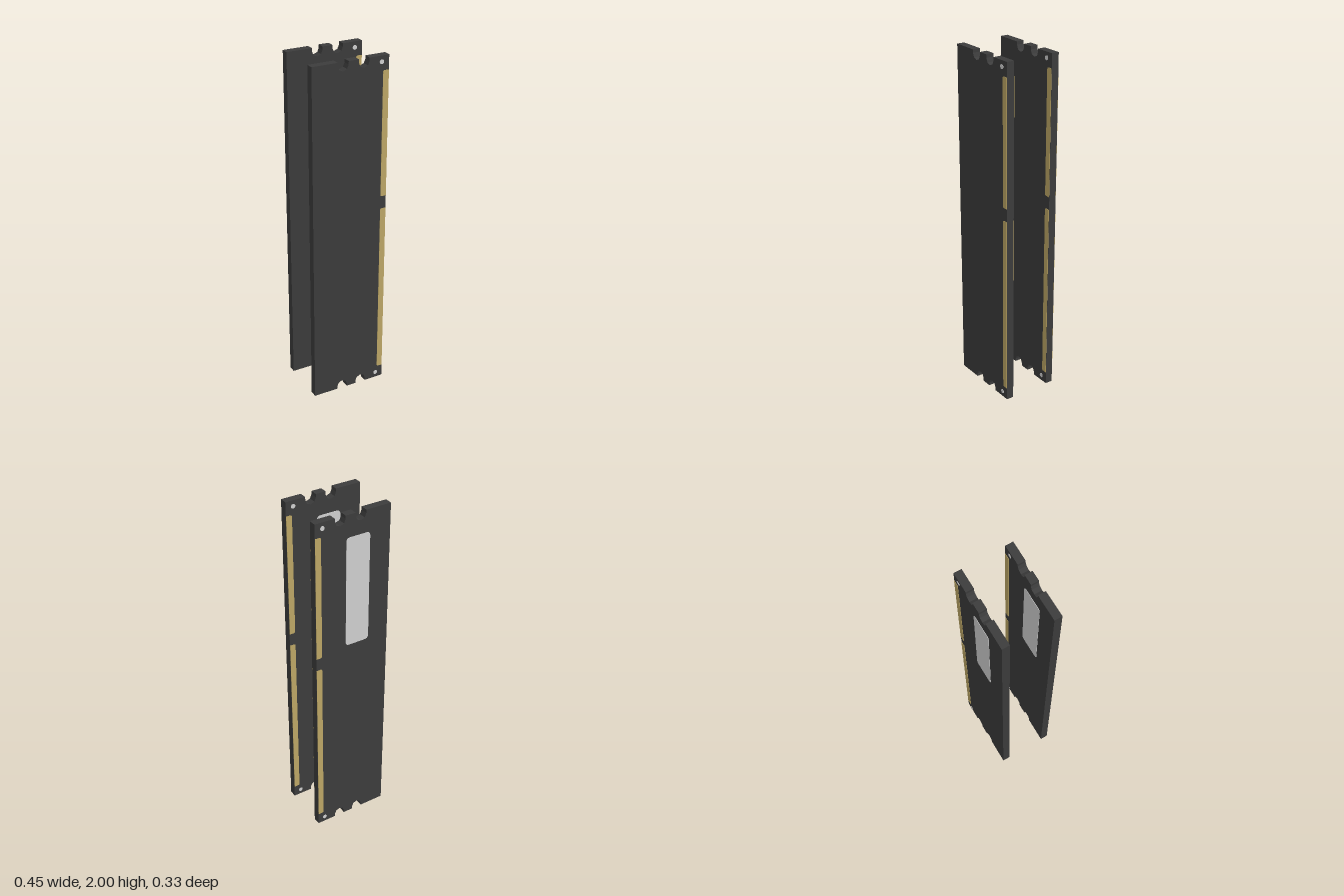
import * as THREE from 'three';

const W = 0.225, H = 2, T = 0.044, PLATE = 0.002;

const mat = (name, color) => {
  const m = new THREE.MeshStandardMaterial({ color });
  m.name = name;
  return m;
};

// Board outline with two round-bottomed notches in each short end
function boardShape() {
  const r = 0.0315, straight = 0.018, notches = [-0.045, 0.077];
  const half = [];
  for (const cx of notches) {
    half.push([cx - r, 0]);
    for (let i = 0; i <= 4; i++) {
      const a = Math.PI * (1 - i / 4);
      half.push([cx + r * Math.cos(a), straight + r * Math.sin(a)]);
    }
    half.push([cx + r, 0]);
  }
  const bottom = [[-W, 0], ...half, [W, 0]];
  const top = bottom.map(([x, y]) => [x, H - y]).reverse();
  return new THREE.Shape([...bottom, ...top].map(([x, y]) => new THREE.Vector2(x, y)));
}

// Rectangle with a separate corner radius for its left and right side
function roundedRect(x0, x1, y0, y1, rl, rr) {
  const s = new THREE.Shape();
  s.moveTo(x0 + rl, y0);
  s.lineTo(x1 - rr, y0);
  if (rr) s.quadraticCurveTo(x1, y0, x1, y0 + rr);
  s.lineTo(x1, y1 - rr);
  if (rr) s.quadraticCurveTo(x1, y1, x1 - rr, y1);
  s.lineTo(x0 + rl, y1);
  if (rl) s.quadraticCurveTo(x0, y1, x0, y1 - rl);
  s.lineTo(x0, y0 + rl);
  if (rl) s.quadraticCurveTo(x0, y0, x0 + rl, y0);
  return s;
}

function extruded(name, shape, depth, z, material) {
  const geo = new THREE.ExtrudeGeometry(shape, { depth, bevelEnabled: false, curveSegments: 6 });
  geo.translate(0, 0, z);
  const mesh = new THREE.Mesh(geo, material);
  mesh.name = name;
  return mesh;
}

export function createModel() {
  const black = mat('board black', 0x3c3c3c);
  const gold = mat('contact gold', 0xbda766);
  const silver = mat('label silver', 0xd0d0d0);

  const stick = new THREE.Group();
  stick.add(extruded('board', boardShape(), T, -T / 2, black));

  // Contacts and corner pads on both faces
  for (const [side, z] of [['front', T / 2], ['back', -T / 2 - PLATE]]) {
    for (const [part, y0, y1] of [['lower', 0.075, 1.125], ['upper', 1.2, 1.92]]) {
      stick.add(extruded(`${side} ${part} contacts`,
        roundedRect(0.19, W - 0.001, y0, y1, 0.01, 0), PLATE, z, gold));
    }
    for (const [part, y] of [['lower', 0.033], ['upper', H - 0.033]]) {
      const pad = new THREE.Shape();
      pad.absarc(0.181, y, 0.013, 0, Math.PI * 2);
      stick.add(extruded(`${side} ${part} corner pad`, pad, PLATE, z, silver));
    }
  }

  // Label on the back
  stick.add(extruded('label', roundedRect(-0.102, 0.041, 1.224, 1.873, 0.022, 0.022),
    PLATE, -T / 2 - PLATE, silver));

  // Two identical sticks, one behind the other
  const model = new THREE.Group();
  model.name = 'memory sticks';
  for (const [name, z] of [['frontStick', 0.142], ['rearStick', -0.142]]) {
    const copy = stick.clone();
    copy.name = name;
    copy.position.z = z;
    model.add(copy);
  }
  return model;
}
